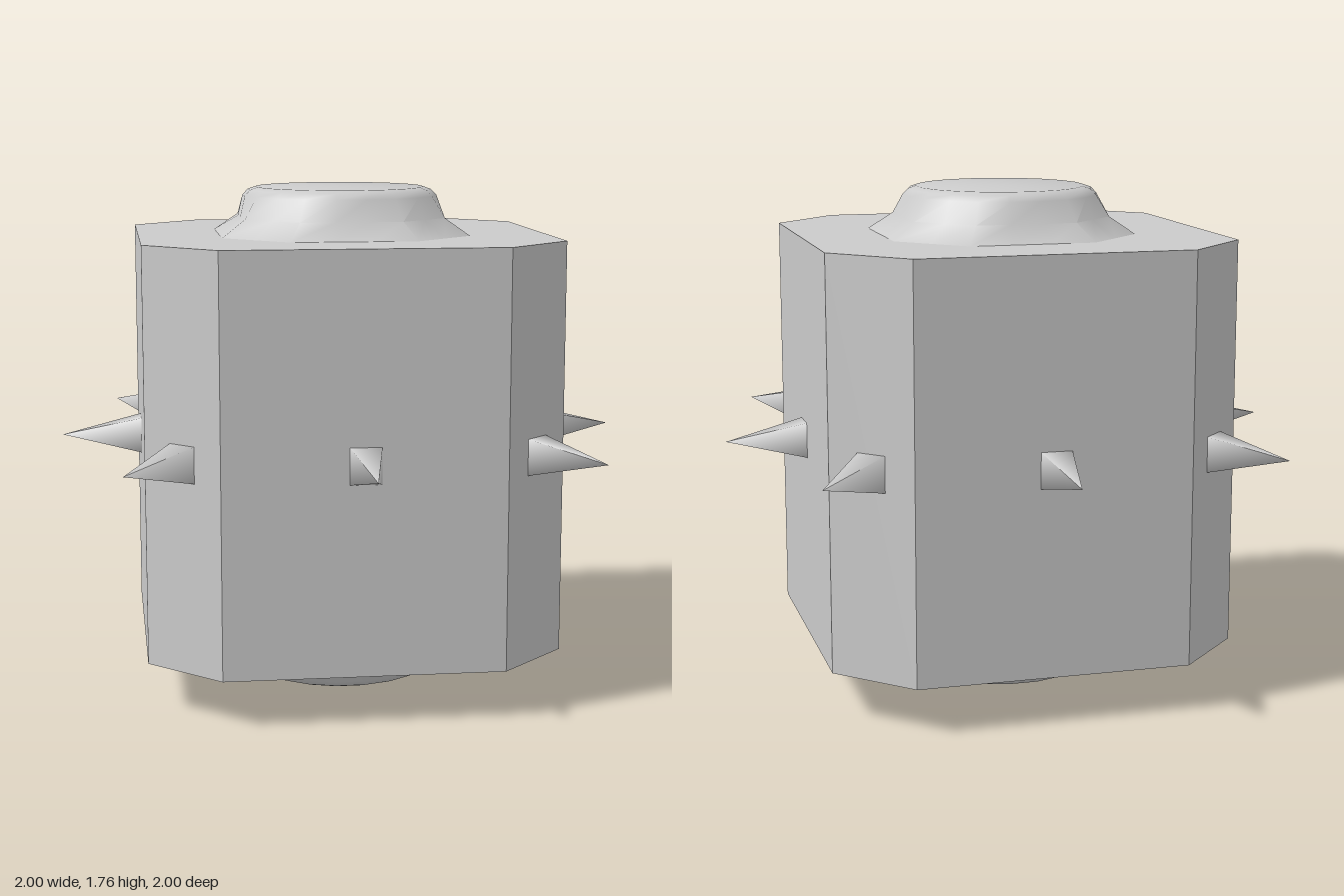
import * as THREE from 'three';
import { toCreasedNormals } from 'three/addons/utils/BufferGeometryUtils.js';

const MID = 0.8825, HALF = 0.7175;
const material = new THREE.MeshStandardMaterial({ color: 0xcccccc });

// Chamfered square prism
function bodyGeometry() {
  const a = 0.72, b = 0.48;
  const pts = [[a, -b], [a, b], [b, a], [-b, a], [-a, b], [-a, -b], [-b, -a], [b, -a]];
  const shape = new THREE.Shape(pts.map(([x, y]) => new THREE.Vector2(x, y)));
  const geo = new THREE.ExtrudeGeometry(shape, { depth: 2 * HALF, bevelEnabled: false });
  return geo.translate(0, 0, -HALF).rotateX(-Math.PI / 2);
}

// Radius of a chamfered square in direction t
function octagon(t, side, diagonal) {
  const c = Math.abs(Math.cos(t)), s = Math.abs(Math.sin(t));
  return Math.min(side / Math.max(c, s), diagonal / (c + s));
}

// Octagonal skirt blending into a round, bevelled plug
function capGeometry() {
  const angles = [];
  for (let q = 0; q < 4; q++) {
    for (const d of [-26.8, -9, 9, 26.8, 45]) angles.push(THREE.MathUtils.degToRad(d + 90 * q));
  }
  const rings = [
    [0, t => octagon(t, 0.435, 0.655)],
    [0.06, t => octagon(t, 0.36, 0.53)],
    [0.135, () => 0.347],
    [0.155, () => 0.328],
    [0.165, () => 0.3],
    [0.165, () => 0],
  ];
  const n = angles.length, position = [], index = [];
  for (const [y, radius] of rings) {
    for (const t of angles) position.push(radius(t) * Math.cos(t), y, -radius(t) * Math.sin(t));
  }
  for (let r = 0; r < rings.length - 1; r++) {
    for (let i = 0; i < n; i++) {
      const a = r * n + i, b = r * n + (i + 1) % n;
      index.push(a, b, b + n);
      if (r < rings.length - 2) index.push(a, b + n, a + n);
    }
  }
  const geo = new THREE.BufferGeometry();
  geo.setAttribute('position', new THREE.Float32BufferAttribute(position, 3));
  geo.setIndex(index);
  return toCreasedNormals(geo, 0.75);
}

// Four-sided spike pointing along +z, base at z = 0
function spikeGeometry() {
  const geo = new THREE.ConeGeometry(Math.SQRT1_2, 0.28, 4);
  geo.rotateY(Math.PI / 4).translate(0, 0.14, 0).rotateX(Math.PI / 2);
  return geo.scale(0.108, 0.125, 1);
}

export function createModel() {
  const model = new THREE.Group();
  const add = (name, geo) => {
    const mesh = new THREE.Mesh(geo, material);
    mesh.name = name;
    model.add(mesh);
    return mesh;
  };

  add('body', bodyGeometry()).position.y = MID;

  // Matching caps on both ends
  const cap = capGeometry();
  add('topCap', cap).position.y = MID + HALF;
  const bottom = add('bottomCap', cap);
  bottom.position.y = MID - HALF;
  bottom.rotation.x = Math.PI;

  // One spike in the middle of each of the eight sides
  const spike = spikeGeometry();
  for (let i = 0; i < 8; i++) {
    const t = i * Math.PI / 4;
    const d = i % 2 ? 1.2 * Math.SQRT1_2 : 0.72;
    const mesh = add('spike' + (i + 1), spike);
    mesh.position.set(d * Math.sin(t), 0.885, d * Math.cos(t));
    mesh.rotation.y = t;
  }
  return model;
}
